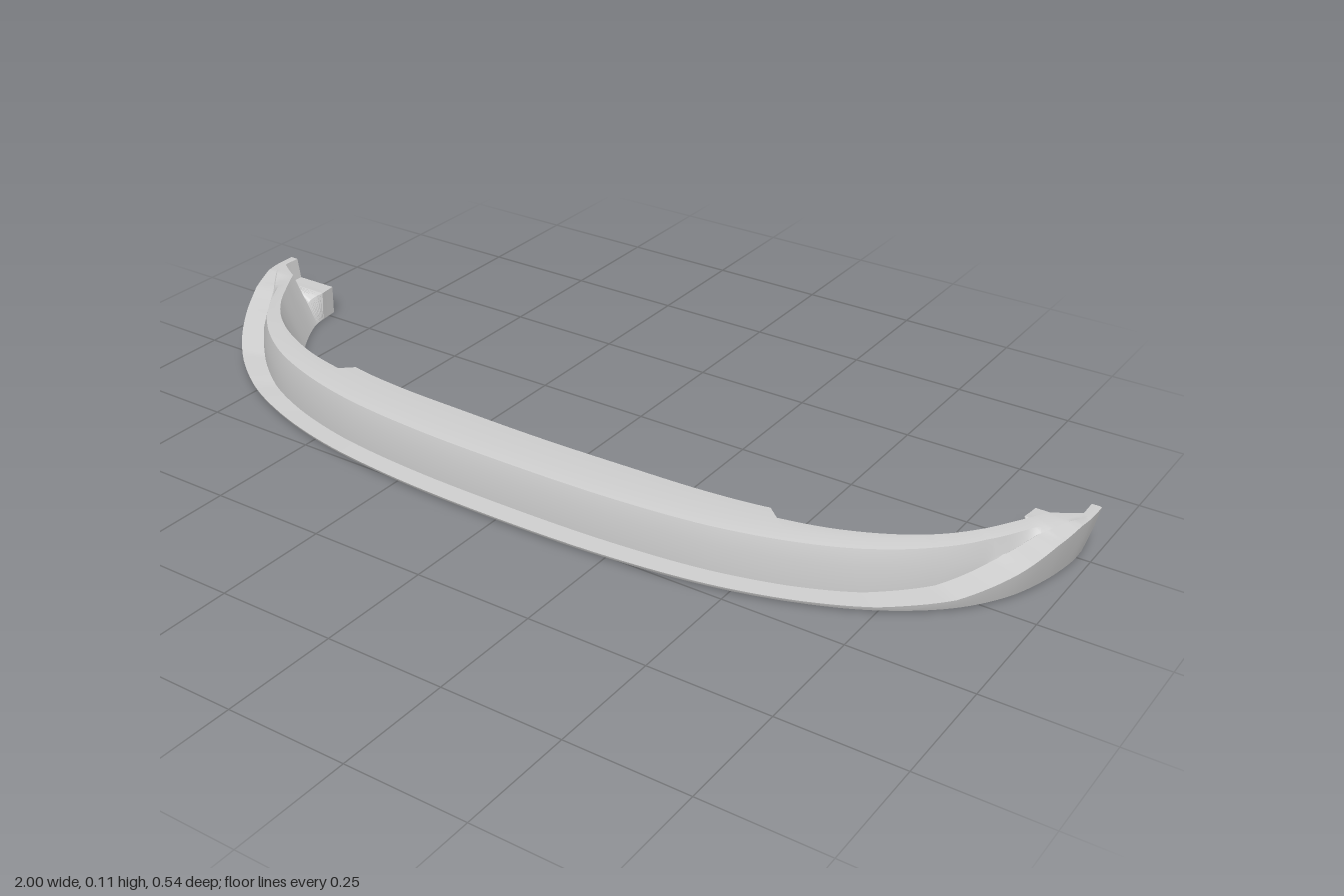
import * as THREE from 'three';
import { toCreasedNormals } from 'three/addons/utils/BufferGeometryUtils.js';

// Stations from the middle to the tip:
// outer x, outer z, inner x, inner z, lip height, wall inset, inset of the top's inner edge
const stations = [
  [0, 0.27, 0, 0.11, 0.012, 0.04, 0.13],
  [0.25, 0.262, 0.2, 0.106, 0.012, 0.04, 0.13],
  [0.46, 0.235, 0.37, 0.099, 0.012, 0.04, 0.13],
  [0.62, 0.19, 0.5, 0.082, 0.012, 0.042, 0.125],
  [0.75, 0.13, 0.61, 0.05, 0.014, 0.045, 0.115],
  [0.86, 0.045, 0.72, -0.005, 0.026, 0.048, 0.1],
  [0.925, -0.045, 0.79, -0.07, 0.058, 0.044, 0.085],
  [0.957, -0.13, 0.845, -0.155, 0.092, 0.025, 0.062],
  [0.97, -0.19, 0.865, -0.2, 0.108, -0.002, 0.045],
  [0.975, -0.23, 0.87, -0.23, 0.109, -0.022, -0.005],
  [0.975, -0.27, 0.875, -0.27, 0.109, -0.022, -0.005],
];
const LAST = stations.length - 1;
const STEP = 3;   // station where the thick middle of the wall ends
const TOP = 0.11;

// Mirrored smooth guide curve through the given x and z columns
function guide(cx, cz) {
  const half = stations.map((s) => new THREE.Vector3(s[cx], 0, s[cz]));
  const mirrored = half.slice(1).reverse().map((p) => new THREE.Vector3(-p.x, 0, p.z));
  return new THREE.CatmullRomCurve3([...mirrored, ...half]);
}

function column(t, c) {
  const i = Math.min(Math.floor(t), LAST - 1);
  return THREE.MathUtils.lerp(stations[i][c], stations[i + 1][c], t - i);
}

// Cross-section as [inset, height], from the outer foot up and over to the inner foot
function section(t, thick, width) {
  const h = column(t, 4), d = column(t, 5);
  const edge = thick ? width : Math.min(column(t, 6), width - 0.01);
  const block = THREE.MathUtils.clamp(t - (LAST - 2), 0, 1);
  const mix = (a, b) => THREE.MathUtils.lerp(a, b, block);
  const flare = 0.025 * h / TOP;
  return [
    [0.012, 0],
    [0.001, 0.005],
    [-flare * 0.6, h * 0.55 + 0.002],
    [-flare, h],
    [d, Math.min(h + 0.003, TOP)],
    [d + 0.002, Math.max(h + 0.001, 0.07)],
    [d + 0.012, Math.max(h + 0.001, 0.103)],
    [Math.min(d + 0.045, edge - 0.001), TOP],
    [edge, TOP],
    [mix(edge + (width - edge) * 0.3, 0.003), mix(0.077, 0.065)],
    [mix(edge + (width - edge) * 0.6, width), mix(0.045, 0.065)],
    [width, 0],
  ];
}

function sweepLip() {
  const outer = guide(0, 1), inner = guide(2, 3);
  const rings = [], flats = [];
  const addRing = (t, thick) => {
    const u = (t + LAST) / (2 * LAST);
    const o = outer.getPoint(u), dir = inner.getPoint(u).sub(o);
    const width = dir.length();
    dir.normalize();
    const flat = section(Math.abs(t), thick, width);
    flats.push(flat);
    rings.push(flat.map(([s, y]) => new THREE.Vector3(o.x + dir.x * s, y, o.z + dir.z * s)));
  };
  const SUB = 8;
  for (let i = -LAST * SUB; i <= LAST * SUB; i++) {
    const t = i / SUB;
    // two rings at the same place make the step in the inner wall
    if (t === STEP) addRing(t, true);
    addRing(t, Math.abs(t) < STEP);
    if (t === -STEP) addRing(t, true);
  }

  const pos = [];
  const tri = (a, b, c) => {
    const area = b.clone().sub(a).cross(c.clone().sub(a)).length();
    if (area > 1e-9) for (const p of [a, b, c]) pos.push(p.x, p.y, p.z);
  };
  const n = rings[0].length;
  for (let i = 0; i < rings.length - 1; i++) {
    for (let j = 0; j < n; j++) {
      const k = (j + 1) % n, A = rings[i], B = rings[i + 1];
      tri(A[j], B[j], B[k]);
      tri(A[j], B[k], A[k]);
    }
  }
  // end faces
  for (const [index, flip] of [[0, true], [rings.length - 1, false]]) {
    const ring = [...rings[index]].reverse();
    const outline = [...flats[index]].reverse().map(([s, y]) => new THREE.Vector2(s, y));
    for (const [a, b, c] of THREE.ShapeUtils.triangulateShape(outline, [])) {
      if (flip) tri(ring[a], ring[c], ring[b]);
      else tri(ring[a], ring[b], ring[c]);
    }
  }
  const geometry = new THREE.BufferGeometry();
  geometry.setAttribute('position', new THREE.Float32BufferAttribute(pos, 3));
  return toCreasedNormals(geometry, 0.5);
}

export function createModel() {
  const group = new THREE.Group();
  group.name = 'frontBumperLip';
  const material = new THREE.MeshStandardMaterial({ color: 0xcccccc, side: THREE.DoubleSide });
  const lip = new THREE.Mesh(sweepLip(), material);
  lip.name = 'curvedLip';
  group.add(lip);
  return group;
}
